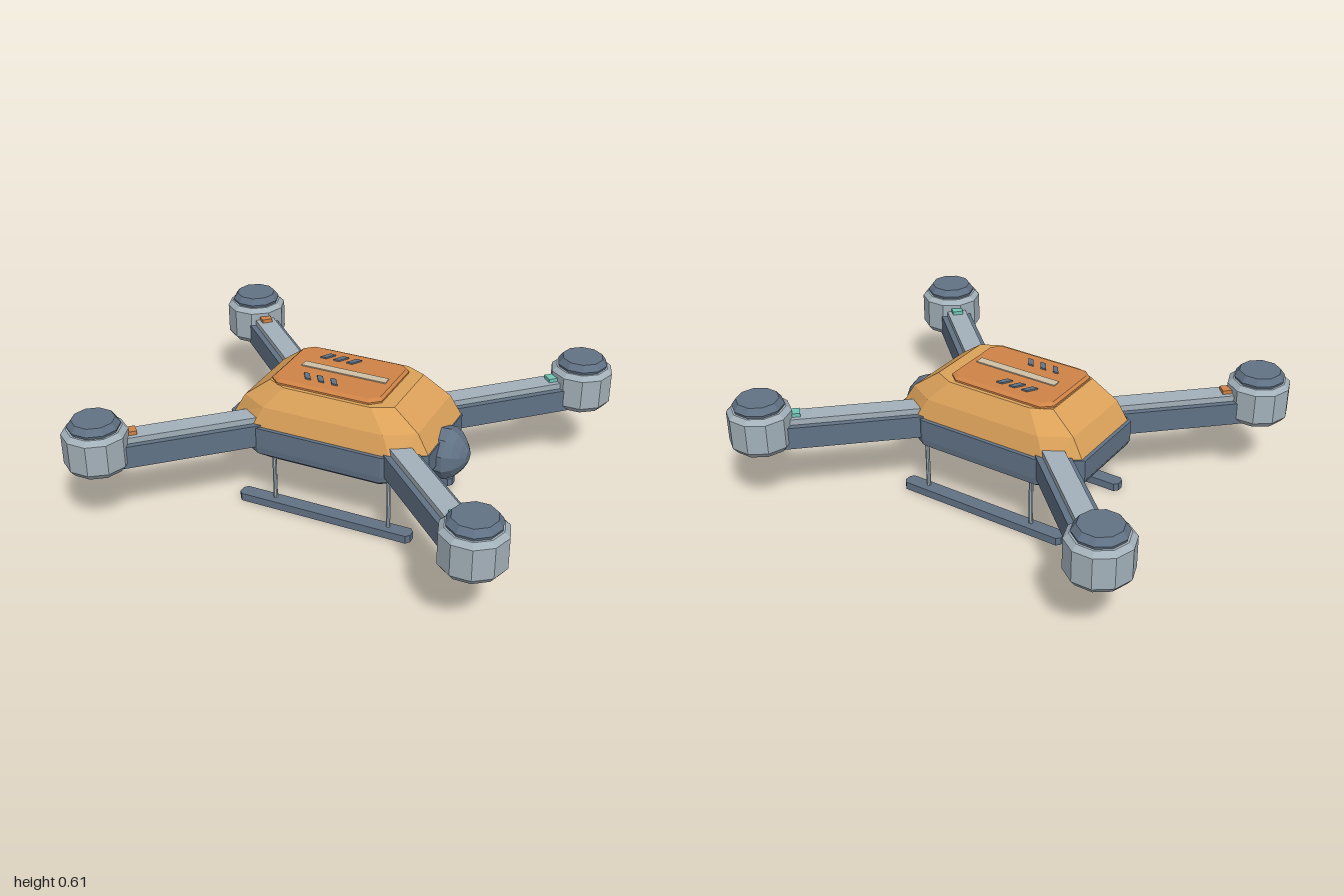
import * as THREE from 'three';

const mat = (name, color) => {
  const m = new THREE.MeshStandardMaterial({ color });
  m.name = name;
  return m;
};

// Faceted normals for the low-poly look
function facet(geo) {
  const g = geo.index ? geo.toNonIndexed() : geo;
  g.computeVertexNormals();
  return g;
}

// Chamfered-rectangle ring: [y, x0, x1, halfZ, chamferX, chamferZ]
function ringPoints([y, x0, x1, z, cx, cz]) {
  return [[x1, z - cz], [x1, cz - z], [x1 - cx, -z], [x0 + cx, -z],
    [x0, cz - z], [x0, z - cz], [x0 + cx, z], [x1 - cx, z]].map(([x, w]) => [x, y, w]);
}

// Closed solid through a bottom-to-top stack of rings
function loft(rings) {
  const pos = [];
  const loops = rings.map(ringPoints);
  const tri = (a, b, c) => pos.push(...a, ...b, ...c);
  for (let r = 0; r < loops.length - 1; r++) {
    for (let i = 0; i < 8; i++) {
      const j = (i + 1) % 8, lo = loops[r], hi = loops[r + 1];
      tri(lo[i], lo[j], hi[j]);
      tri(lo[i], hi[j], hi[i]);
    }
  }
  const bottom = loops[0], top = loops[loops.length - 1];
  for (let i = 1; i < 7; i++) {
    tri(bottom[0], bottom[i + 1], bottom[i]);
    tri(top[0], top[i], top[i + 1]);
  }
  const g = new THREE.BufferGeometry();
  g.setAttribute('position', new THREE.Float32BufferAttribute(pos, 3));
  return facet(g);
}

// Ten-sided turned solid from [radius, height] pairs
const turned = (profile) => facet(new THREE.LatheGeometry(
  profile.map(([r, y]) => new THREE.Vector2(r, y)), 10, Math.PI / 2));

export function createModel() {
  const slate = mat('slate', 0x617285);
  const grey = mat('light grey', 0xa3b1ba);
  const amber = mat('amber', 0xdca25a);
  const orange = mat('burnt orange', 0xcf8346);
  const cream = mat('cream', 0xd0c0a6);
  const teal = mat('teal', 0x70c4b4);

  const model = new THREE.Group();
  model.name = 'drone';
  const add = (parent, name, geo, material, x = 0, y = 0, z = 0) => {
    const m = new THREE.Mesh(geo, material);
    m.name = name;
    m.position.set(x, y, z);
    parent.add(m);
    return m;
  };

  // Hull, canopy and roof hatch
  add(model, 'hull', loft([
    [0.235, -0.41, 0.39, 0.235, 0.14, 0.08],
    [0.285, -0.472, 0.452, 0.3, 0.17, 0.1],
    [0.315, -0.487, 0.467, 0.303, 0.18, 0.105],
    [0.412, -0.487, 0.467, 0.303, 0.18, 0.105],
  ]), slate);
  add(model, 'canopy', loft([
    [0.405, -0.474, 0.466, 0.287, 0.14, 0.09],
    [0.5, -0.42, 0.41, 0.262, 0.13, 0.075],
    [0.588, -0.305, 0.29, 0.208, 0.09, 0.045],
  ]), amber);
  add(model, 'hatch', loft([
    [0.58, -0.3, 0.225, 0.19, 0.045, 0.04],
    [0.596, -0.3, 0.225, 0.19, 0.045, 0.04],
    [0.607, -0.288, 0.213, 0.172, 0.04, 0.035],
  ]), orange);

  // Hatch markings
  add(model, 'hatchStripe', new THREE.BoxGeometry(0.405, 0.006, 0.042), cream, -0.018, 0.609, 0);
  for (const side of [-1, 1]) {
    for (let i = 0; i < 3; i++) {
      const g = new THREE.BoxGeometry(0.028, 0.008, 0.045);
      const p = g.attributes.position;
      for (let k = 0; k < p.count; k++) p.setX(k, p.getX(k) + side * p.getZ(k) * 0.62);
      add(model, 'hatchSlash', facet(g), slate, -0.15 + i * 0.064, 0.61, side * 0.105);
    }
  }

  // Camera pod on the nose
  const camera = add(model, 'cameraPod', turned([
    [0, 0.4], [0.115, 0.4], [0.119, 0.49], [0.1, 0.525], [0.066, 0.553], [0.03, 0.572], [0, 0.572],
  ]), slate, 0, 0.325, 0);
  camera.rotation.z = -Math.PI / 2;

  // Four arms, each with a top plate, marker light and motor pod
  const podX = 0.857, podZ = 0.718, innerX = 0.31, innerZ = 0.201;
  const dx = podX - innerX, dz = podZ - innerZ, length = Math.hypot(dx, dz);
  const podGeo = turned([[0, 0.315], [0.122, 0.315], [0.143, 0.342], [0.143, 0.482], [0.12, 0.503], [0, 0.503]]);
  const capGeo = turned([[0, 0.495], [0.108, 0.495], [0.115, 0.516], [0.094, 0.545], [0, 0.545]]);
  for (const sx of [-1, 1]) {
    for (const sz of [-1, 1]) {
      const arm = new THREE.Group();
      arm.name = 'arm';
      arm.position.set(sx * innerX, 0, sz * innerZ);
      arm.rotation.y = Math.atan2(-sz * dz, sx * dx);
      model.add(arm);
      add(arm, 'armBeam', new THREE.BoxGeometry(length, 0.105, 0.146), slate, length / 2, 0.3675, 0);
      add(arm, 'armTopPlate', new THREE.BoxGeometry(length, 0.03, 0.092), grey, length / 2, 0.432, 0);
      add(arm, 'markerLight', new THREE.BoxGeometry(0.045, 0.025, 0.05), sx > 0 ? teal : orange,
        length - 0.153, 0.452, 0);
      add(model, 'motorPod', podGeo, grey, sx * podX, 0, sz * podZ);
      add(model, 'motorCap', capGeo, slate, sx * podX, 0, sz * podZ);
    }
  }

  // Landing skids and struts
  for (const sz of [-1, 1]) {
    add(model, 'skid', loft([
      [0, -0.42, 0.42, 0.034, 0.016, 0.018],
      [0.037, -0.42, 0.42, 0.034, 0.016, 0.018],
    ]), slate, 0, 0, sz * 0.254);
    for (const x of [-0.25, 0.305]) {
      add(model, 'strut', facet(new THREE.CylinderGeometry(0.01, 0.01, 0.24, 8)), grey, x, 0.15, sz * 0.246);
    }
  }
  return model;
}
